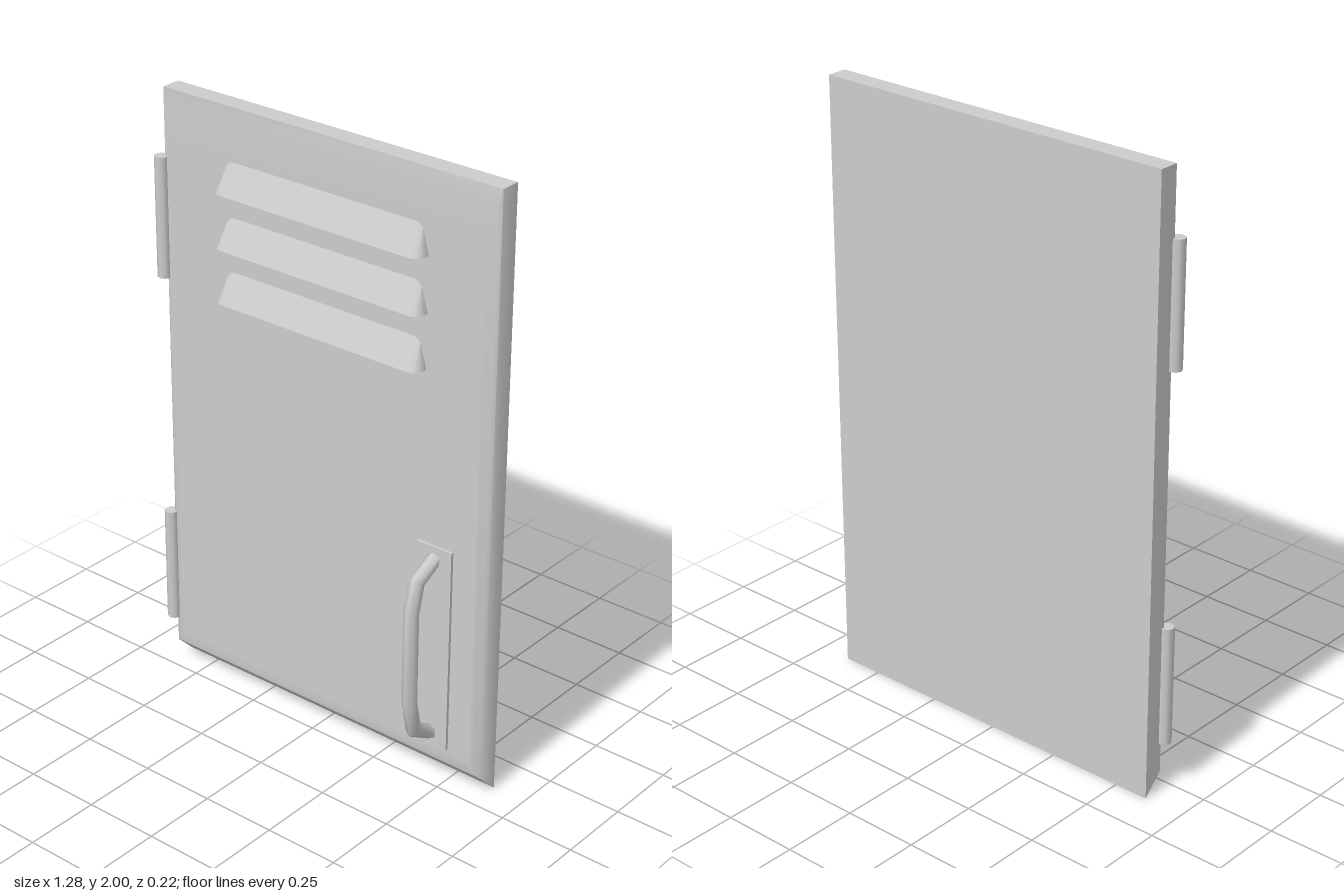
import * as THREE from 'three';
import { toCreasedNormals } from 'three/addons/utils/BufferGeometryUtils.js';
import { ConvexGeometry } from 'three/addons/geometries/ConvexGeometry.js';

// Skin a list of equal-length rings and cap both ends.
function loft(rings, crease) {
  const n = rings[0].length, last = (rings.length - 1) * n, index = [];
  for (let r = 0; r < rings.length - 1; r++) {
    for (let i = 0; i < n; i++) {
      const a = r * n + i, b = r * n + (i + 1) % n;
      index.push(a, b, b + n, a, b + n, a + n);
    }
  }
  for (let i = 1; i < n - 1; i++) {
    index.push(0, i + 1, i, last, last + i, last + i + 1);
  }
  const g = new THREE.BufferGeometry();
  g.setAttribute('position', new THREE.Float32BufferAttribute(rings.flat(2), 3));
  g.setIndex(index);
  return toCreasedNormals(g, crease);
}

const rect = (x0, x1, y0, y1, z) => [[x0, y0, z], [x1, y0, z], [x1, y1, z], [x0, y1, z]];

// Door slab with bevelled front edges and a deep chamfer along the bottom.
function doorGeometry() {
  return loft([
    rect(-0.615, 0.637, 0, 2, -0.11),
    rect(-0.615, 0.637, 0.065, 2, -0.044),
    rect(-0.605, 0.627, 0.073, 1.95, -0.035),
    rect(-0.595, 0.617, 0.082, 1.87, -0.03),
    rect(-0.57, 0.592, 0.12, 1.83, -0.03),
  ], 0.9);
}

// Wedge-shaped vent hood: rounded lower lip rising back to the door.
function louvreGeometry() {
  const lip = [[0.388, -0.02], [0.385, -0.003], [0.374, 0.011], [0.355, 0.016]];
  const back = [[0.388, 0.005], [0.375, 0.05], [0.367, 0.078], [0.356, 0.09], [0.34, 0.095]];
  const points = [];
  for (const s of [-1, 1]) {
    for (const [x, z] of lip) points.push(new THREE.Vector3(s * x, 0, z));
    for (const [x, y] of back) points.push(new THREE.Vector3(s * x, y, -0.03));
    points.push(new THREE.Vector3(s * 0.388, 0, -0.035));
  }
  return toCreasedNormals(new ConvexGeometry(points), 0.6);
}

// Six-sided bar mitred around the bends of the pull.
function handleGeometry() {
  const path = [[0.787, -0.025], [0.742, 0.06], [0.645, 0.084],
    [0.335, 0.084], [0.222, 0.06], [0.172, -0.025]].map(([y, z]) => new THREE.Vector2(y, z));
  const radius = 0.024;
  const rings = path.map((p, i) => {
    const before = p.clone().sub(path[Math.max(i - 1, 0)]).normalize();
    const after = path[Math.min(i + 1, path.length - 1)].clone().sub(p).normalize();
    const t = before.clone().add(after).normalize();
    const miter = radius / t.dot(i ? before : after);
    return Array.from({ length: 6 }, (_, k) => {
      const a = Math.PI / 6 + k * Math.PI / 3, d = miter * Math.sin(a);
      return [0.451 + radius * Math.cos(a), p.x + t.y * d, p.y - t.x * d];
    });
  });
  return loft(rings, 1.1);
}

export function createModel() {
  const model = new THREE.Group();
  model.name = 'lockerDoor';
  const metal = new THREE.MeshStandardMaterial({ color: 0xcccccc });
  metal.name = 'greyMetal';

  function add(name, geometry, x = 0, y = 0, z = 0) {
    const mesh = new THREE.Mesh(geometry, metal);
    mesh.name = name;
    mesh.position.set(x, y, z);
    model.add(mesh);
    return mesh;
  }

  add('doorPanel', doorGeometry());

  // Three vents near the top
  const louvre = louvreGeometry();
  [1.74, 1.563, 1.386].forEach((y, i) => add('ventLouvre' + (i + 1), louvre, 0.011, y, 0));

  // Pull handle on its backing plate
  add('handlePlate', new THREE.BoxGeometry(0.13, 0.695, 0.02), 0.45, 0.478, -0.03);
  add('pullHandle', handleGeometry());

  // Hinge barrels on the right edge
  const barrel = new THREE.CylinderGeometry(0.023, 0.023, 0.397, 8);
  add('upperHinge', barrel, -0.618, 1.586, -0.031);
  add('lowerHinge', barrel, -0.618, 0.364, -0.031);

  return model;
}
